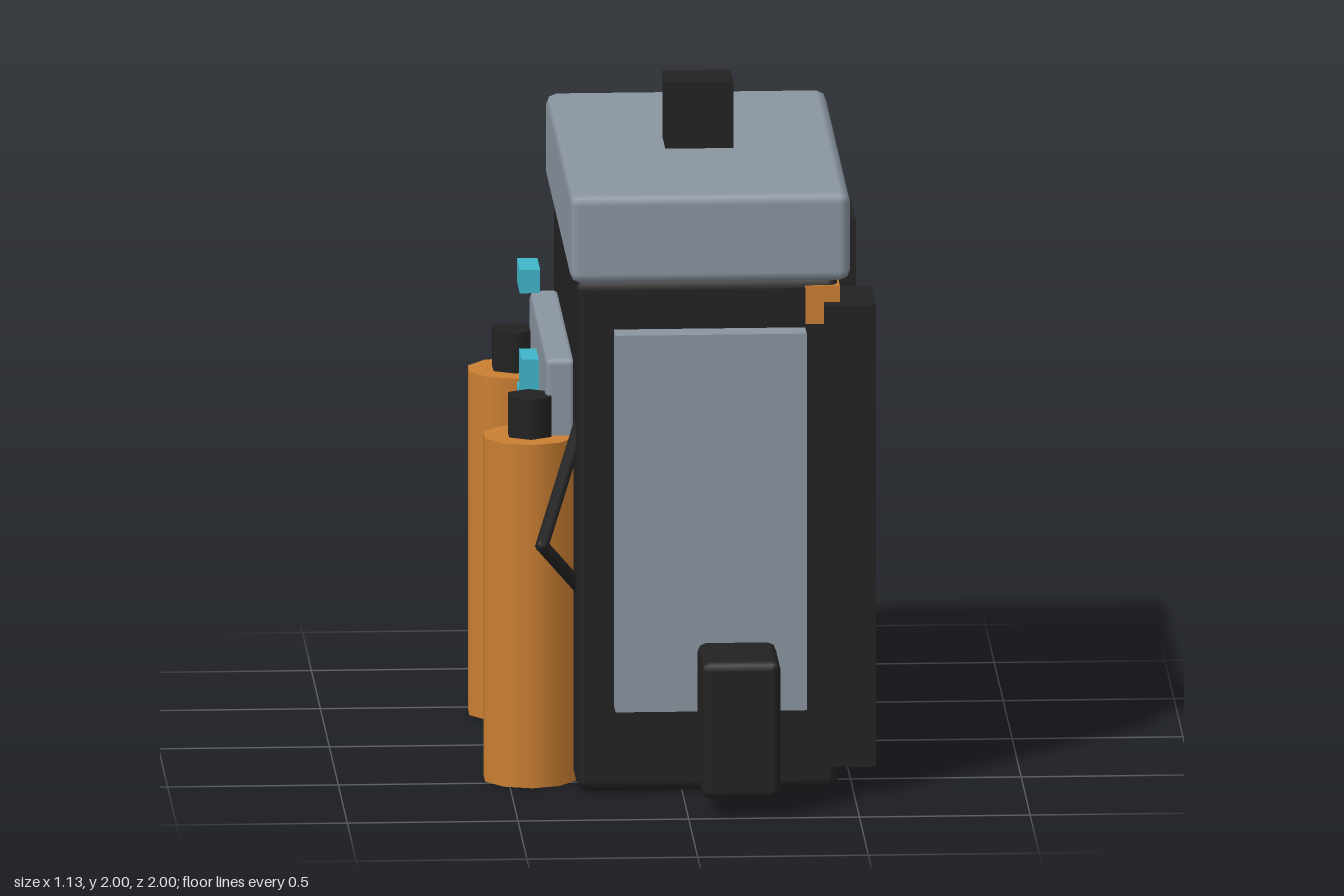
import * as THREE from 'three';
import { RoundedBoxGeometry } from 'three/addons/geometries/RoundedBoxGeometry.js';

const material = (name, color) => {
  const m = new THREE.MeshStandardMaterial({ color });
  m.name = name;
  return m;
};

export function createModel() {
  const model = new THREE.Group();
  const black = material('black fabric', 0x222222);
  const grey = material('grey fabric', 0x8a95a1);
  const orange = material('orange', 0xcb7f32);
  const cyan = material('cyan', 0x40b6ca);

  const add = (name, geometry, mat, x = 0, y = 0, z = 0) => {
    const mesh = new THREE.Mesh(geometry, mat);
    mesh.name = name;
    mesh.position.set(x, y, z);
    model.add(mesh);
    return mesh;
  };

  // Box from its extents; a radius rounds the edges
  const box = (name, mat, [x0, x1], [y0, y1], [z0, z1], radius = 0) => {
    const size = [x1 - x0, y1 - y0, z1 - z0];
    const geometry = radius
      ? new RoundedBoxGeometry(...size, 1, radius)
      : new THREE.BoxGeometry(...size);
    return add(name, geometry, mat, (x0 + x1) / 2, (y0 + y1) / 2, (z0 + z1) / 2);
  };

  // Pack body, lid and carry handle
  box('body', black, [-0.31, 0.46], [0, 1.54], [-0.645, 0.645], 0.035);
  box('lid', grey, [-0.33, 0.49], [1.535, 1.8], [-0.695, 0.69], 0.03);
  box('handle', black, [-0.02, 0.18], [1.79, 2], [-0.08, 0.075]);

  // Outer pocket panel with raised cross and tag
  box('pocketPanel', grey, [-0.39, -0.3], [0.41, 1.26], [-0.46, 0.455], 0.02);
  box('crossUpright', cyan, [-0.44, -0.385], [0.7, 1.17], [-0.08, 0.065]);
  box('crossArmBack', cyan, [-0.44, -0.385], [0.9, 1.04], [-0.21, -0.08]);
  box('crossArmFront', cyan, [-0.44, -0.385], [0.9, 1.04], [0.065, 0.2]);
  box('tag', cyan, [-0.43, -0.37], [1.3, 1.37], [-0.39, -0.235]);

  // Extra pouch at the back
  box('greyPouch', grey, [0.16, 0.41], [0.18, 0.6], [-0.975, -0.64], 0.02);

  // Parts repeated at front and back
  for (const s of [1, -1]) {
    const side = s > 0 ? 'front' : 'back';
    const span = (a, b) => (s > 0 ? [a, b] : [-b, -a]);

    box(side + 'Panel', grey, [-0.2, 0.36], [0.26, 1.39], span(0.62, 0.728));
    box(side + 'Pouch', black, [0.04, 0.27], [0.055, 0.465], span(0.63, 1), 0.025);
    box(side + 'ShoulderStrap', black, [0.415, 0.565], [0.08, 1.465], span(0.44, 0.693));
    box(side + 'StrapAnchor', orange, [0.36, 0.461], [1.4, 1.515], span(0.49, 0.6455));

    // Bottle and its cap
    add(side + 'Bottle', new THREE.CylinderGeometry(0.14, 0.14, 1.03, 10), orange,
      -0.436, 0.515, s * 0.435);
    add(side + 'BottleCap', new THREE.CylinderGeometry(0.072, 0.072, 0.12, 6), black,
      -0.436, 1.09, s * 0.435);

    // Bent cord made of two straight rods
    const points = [[-0.28, 1.14, 0.565], [-0.412, 0.75, 0.668], [-0.28, 0.58, 0.565]]
      .map(([x, y, z]) => new THREE.Vector3(x, y, s * z));
    for (let i = 0; i < 2; i++) {
      const path = new THREE.LineCurve3(points[i], points[i + 1]);
      add(side + (i ? 'LowerCord' : 'UpperCord'),
        new THREE.TubeGeometry(path, 1, 0.021, 6), black);
    }
    add(side + 'CordBend', new THREE.SphereGeometry(0.021, 6, 4), black, ...points[1].toArray());
  }

  return model;
}
